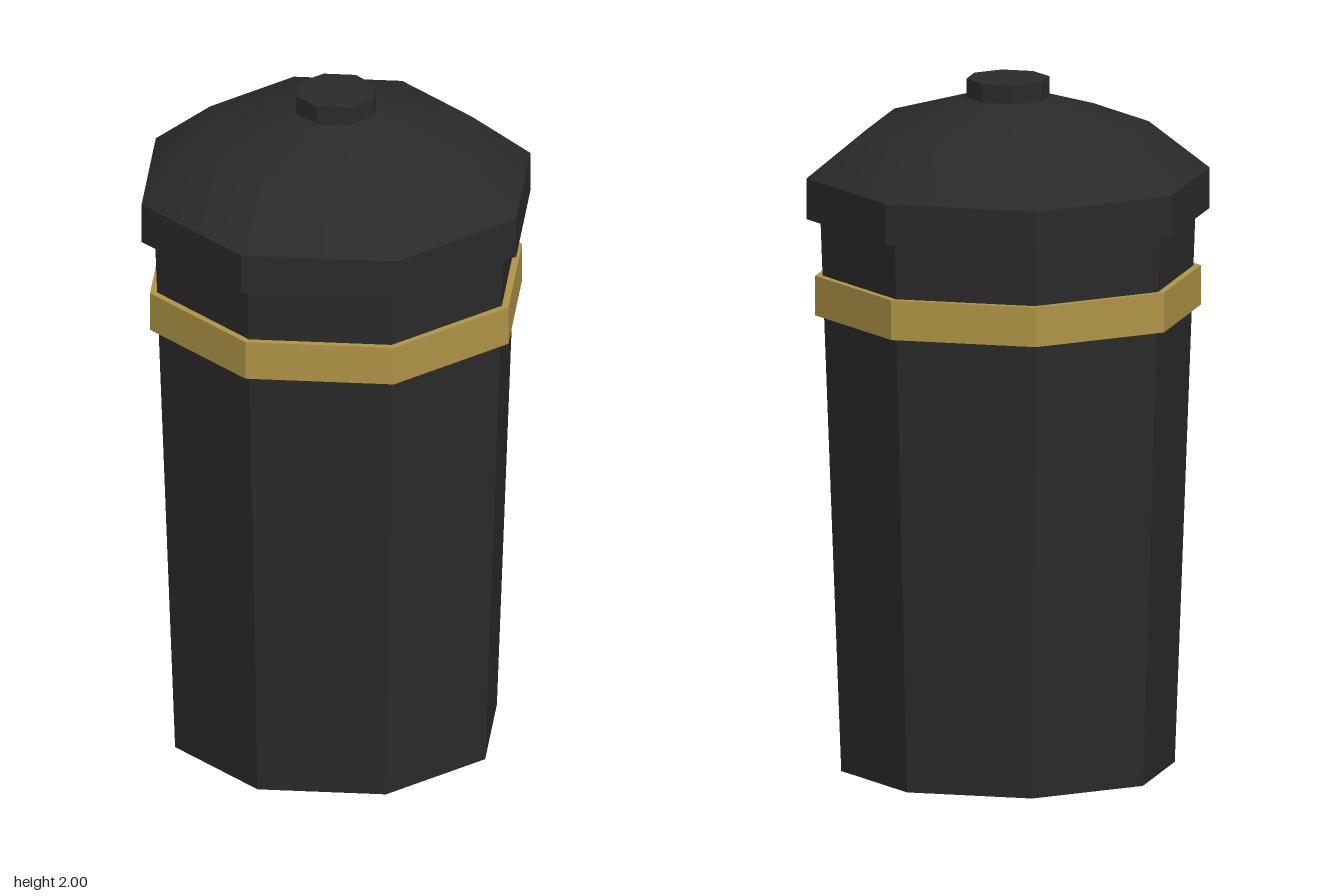
import * as THREE from 'three';

const SIDES = 8;

export function createModel() {
  const model = new THREE.Group();
  model.name = 'litterBin';

  const black = new THREE.MeshStandardMaterial({ color: 0x2a2a2a });
  black.name = 'black';
  const gold = new THREE.MeshStandardMaterial({ color: 0xaf9446 });
  gold.name = 'gold';

  // Flat-sided octagonal drum standing between two heights
  function drum(name, rBottom, rTop, y0, y1, material) {
    const cylinder = new THREE.CylinderGeometry(rTop, rBottom, y1 - y0, SIDES);
    const geometry = cylinder.toNonIndexed();
    geometry.computeVertexNormals();
    const mesh = new THREE.Mesh(geometry, material);
    mesh.name = name;
    mesh.position.y = (y0 + y1) / 2;
    model.add(mesh);
  }

  drum('body', 0.48, 0.54, 0, 1.61, black);
  drum('band', 0.555, 0.555, 1.325, 1.44, gold);
  drum('lidRim', 0.58, 0.58, 1.605, 1.723, black);
  drum('knob', 0.12, 0.12, 1.93, 2, black);

  // Smoothly shaded domed lid
  const profile = [[0.58, 1.723], [0.405, 1.862], [0.118, 1.946], [0, 1.965]];
  const dome = new THREE.Mesh(
    new THREE.LatheGeometry(profile.map(([r, y]) => new THREE.Vector2(r, y)), SIDES),
    black
  );
  dome.name = 'lidDome';
  model.add(dome);

  return model;
}
